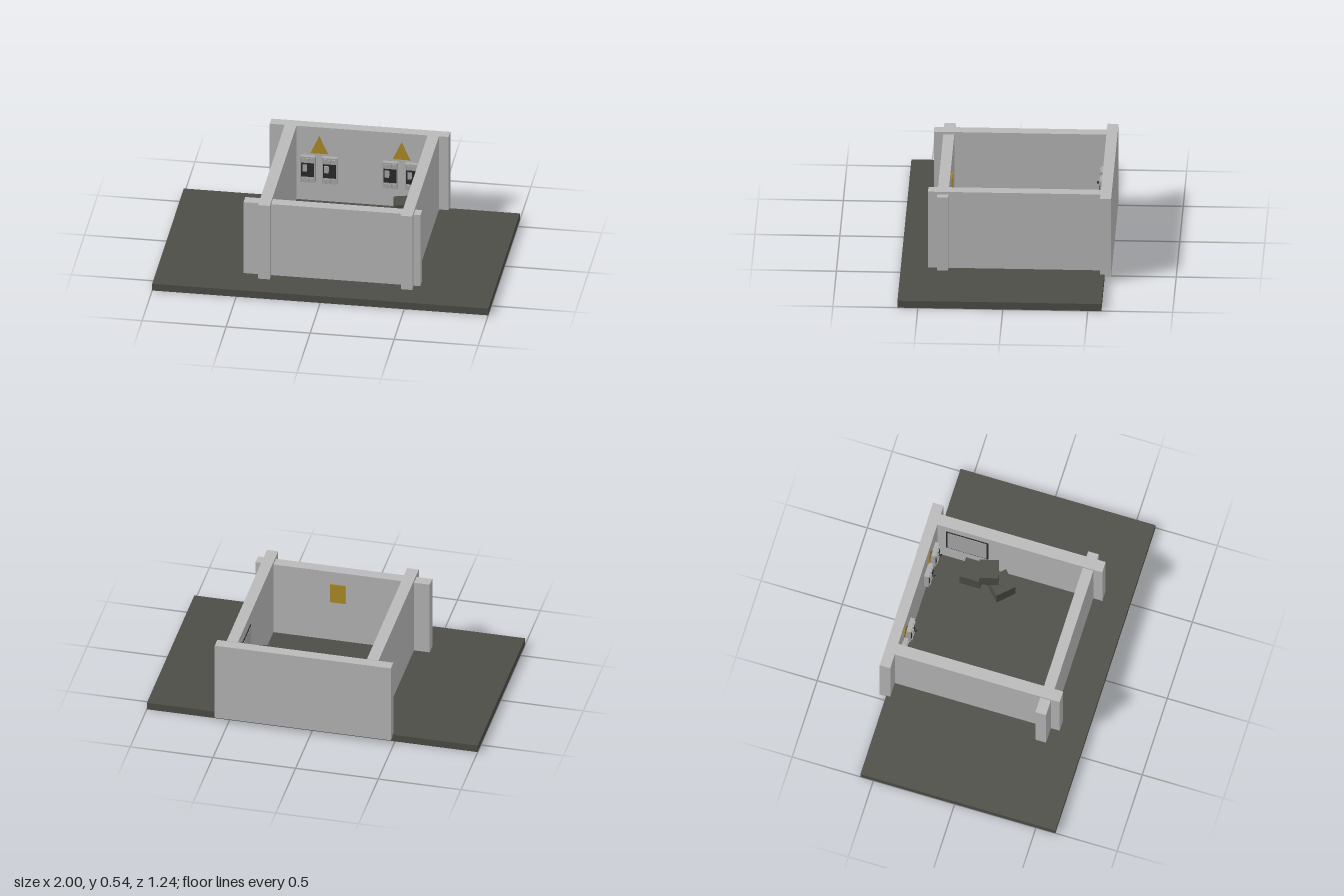
import * as THREE from 'three';

const mat = (name, color) => {
  const m = new THREE.MeshStandardMaterial({ color });
  m.name = name;
  return m;
};

export function createModel() {
  const root = new THREE.Group();
  root.name = 'walledRoom';
  const wall = mat('concreteGrey', 0xb9b9b9);
  const ground = mat('darkGround', 0x4d4d47);
  const casing = mat('casingGrey', 0xaaaaaa);
  const black = mat('nearBlack', 0x2b2b2b);
  const yellow = mat('warningYellow', 0xb08d28);

  // Box given by its low and high corners
  const box = (name, m, [x0, y0, z0], [x1, y1, z1], parent = root) => {
    const mesh = new THREE.Mesh(new THREE.BoxGeometry(x1 - x0, y1 - y0, z1 - z0), m);
    mesh.position.set((x0 + x1) / 2, (y0 + y1) / 2, (z0 + z1) / 2);
    mesh.name = name;
    parent.add(mesh);
    return mesh;
  };

  // Ground slab and four overlapping walls
  box('groundSlab', ground, [-1, 0, -0.58], [1, 0.045, 0.62]);
  box('backWall', wall, [-0.485, 0.03, -0.62], [0.58, 0.533, -0.555]);
  box('rightWall', wall, [-0.395, 0.04, -0.556], [-0.325, 0.535, 0.46]);
  box('leftWall', wall, [0.455, 0.04, -0.556], [0.523, 0.535, 0.46]);
  box('frontWall', wall, [-0.49, 0.04, 0.34], [0.563, 0.518, 0.405]);

  // Switch boxes on the back wall
  for (const x of [-0.255, -0.125, 0.235, 0.37]) {
    const unit = new THREE.Group();
    unit.name = 'switchBox';
    unit.position.set(x, 0.26, -0.555);
    root.add(unit);
    box('casing', casing, [-0.045, -0.085, 0], [0.045, 0.085, 0.028], unit);
    box('darkPanel', black, [-0.038, -0.045, 0.028], [0.038, 0.045, 0.031], unit);
    box('switchBlock', casing, [-0.03, -0.01, 0.028], [-0.002, 0.035, 0.036], unit);
    for (const y of [-0.065, 0.065]) {
      for (const dx of [-0.025, 0, 0.025]) {
        box('terminal', casing, [dx - 0.008, y - 0.012, 0.028], [dx + 0.008, y + 0.012, 0.035], unit);
      }
    }
    const lever = new THREE.Mesh(new THREE.CylinderGeometry(0.007, 0.007, 0.025, 10), black);
    lever.name = 'lever';
    lever.rotation.x = Math.PI / 2;
    lever.position.set(0.004, 0, 0.04);
    unit.add(lever);
  }

  // Triangular warning signs above each pair of switch boxes
  const triangle = new THREE.Shape();
  triangle.moveTo(-0.052, 0);
  triangle.lineTo(0.052, 0);
  triangle.lineTo(0, 0.115);
  triangle.closePath();
  const signGeometry = new THREE.ExtrudeGeometry(triangle, { depth: 0.004, bevelEnabled: false });
  for (const x of [-0.19, 0.3]) {
    const sign = new THREE.Mesh(signGeometry, yellow);
    sign.name = 'warningSign';
    sign.position.set(x, 0.36, -0.555);
    root.add(sign);
  }

  // Yellow notice inside the front wall and framed board on the left wall
  box('notice', yellow, [0.02, 0.31, 0.334], [0.11, 0.435, 0.34]);
  box('boardFrame', black, [0.451, 0.2, -0.5], [0.455, 0.465, -0.24]);
  box('boardFace', casing, [0.449, 0.21, -0.49], [0.451, 0.455, -0.25]);

  // Small pile of crates
  for (const [x, y, z, size, turn] of [
    [0.378, 0.045, -0.312, 0.125, 0],
    [0.35, 0.045, -0.13, 0.125, 0.76],
    [0.37, 0.16, -0.21, 0.115, 0.27],
  ]) {
    const h = 0.115;
    const crate = box('crate', ground, [-size / 2, 0, -size / 2], [size / 2, h, size / 2]);
    crate.position.set(x, y + h / 2, z);
    crate.rotation.y = turn;
  }
  return root;
}
